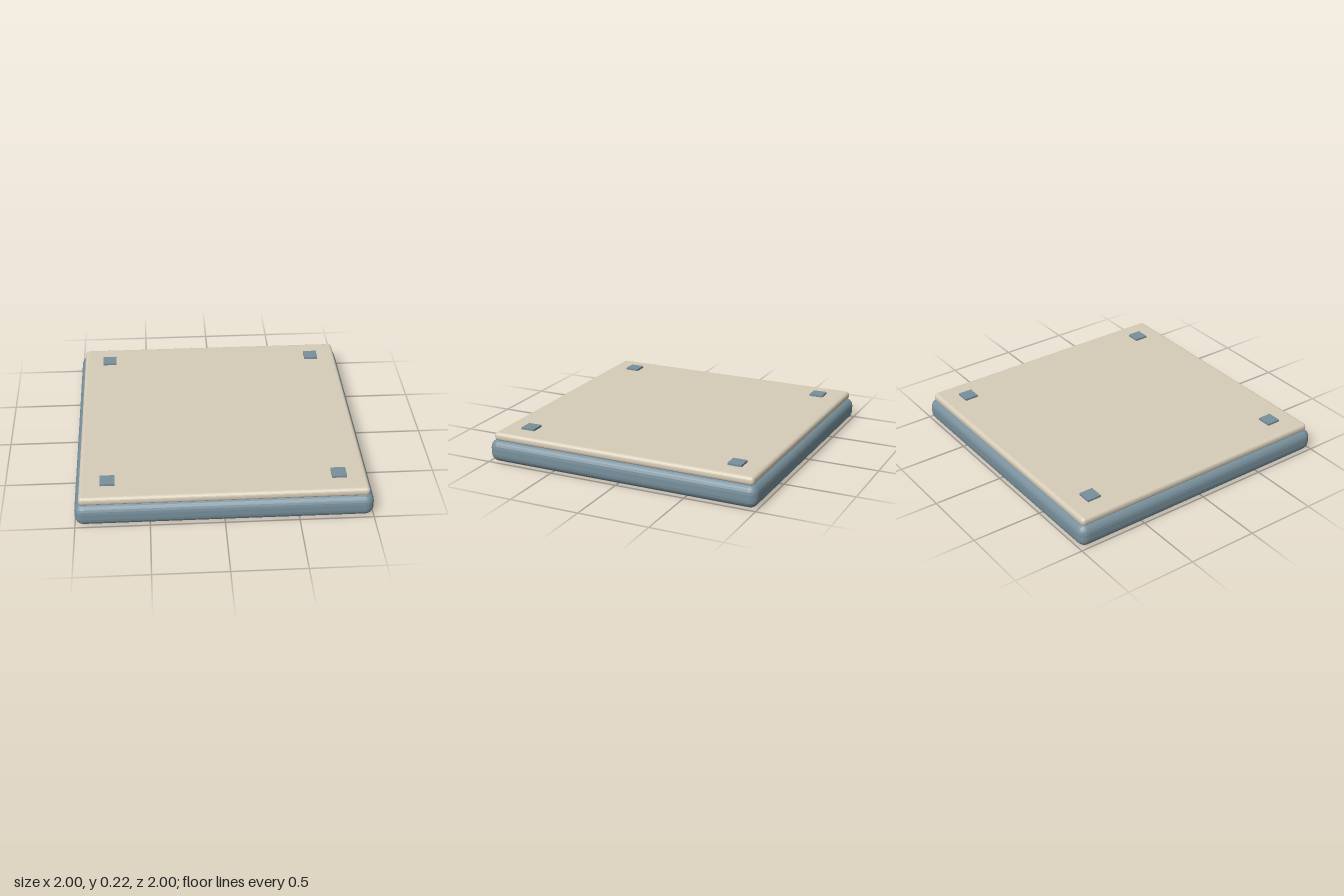
import * as THREE from 'three';
import { RoundedBoxGeometry } from 'three/addons/geometries/RoundedBoxGeometry.js';

export function createModel() {
  const model = new THREE.Group();
  model.name = 'squarePlatform';

  const slate = new THREE.MeshStandardMaterial({ color: 0x78909c, flatShading: true });
  const sand = new THREE.MeshStandardMaterial({ color: 0xd7ccb8, flatShading: true });

  const add = (name, geometry, material, x, y, z) => {
    const mesh = new THREE.Mesh(geometry, material);
    mesh.name = name;
    mesh.position.set(x, y, z);
    model.add(mesh);
  };

  // Thick base slab with rounded edges
  add('base', new RoundedBoxGeometry(2, 0.16, 2, 3, 0.06), slate, 0, 0.08, 0);

  // Thinner top slab, slightly inset and sunk into the base
  add('topSlab', new RoundedBoxGeometry(1.94, 0.06, 1.94, 3, 0.025), sand, 0, 0.18, 0);

  // Small square pads near the four corners
  const padGeometry = new THREE.BoxGeometry(0.1, 0.02, 0.1);
  for (const x of [-0.78, 0.78]) {
    for (const z of [-0.78, 0.78]) {
      const name = (z > 0 ? 'front' : 'back') + (x > 0 ? 'Left' : 'Right') + 'Pad';
      add(name, padGeometry, slate, x, 0.215, z);
    }
  }

  return model;
}
